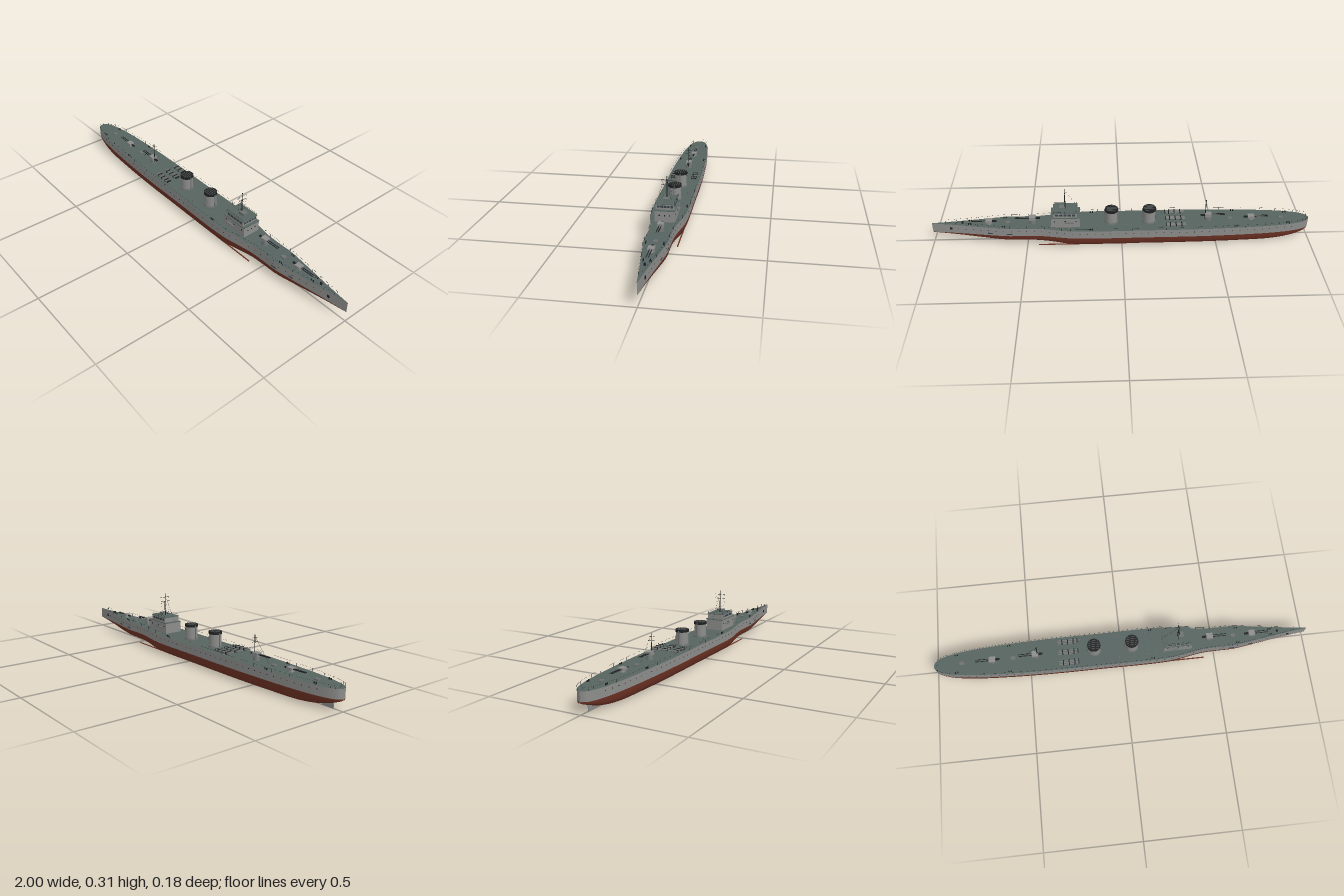
import * as THREE from 'three';

const paint = (name, color) => {
  const m = new THREE.MeshStandardMaterial({ color });
  m.name = name;
  return m;
};

export function createModel() {
  const ship = new THREE.Group();
  ship.name = 'warship';
  const grey = paint('hull grey', 0x8c8d8b);
  const red = paint('bottom red', 0x6e3224);
  const deckGreen = paint('deck grey green', 0x56635f);
  const dark = paint('dark metal', 0x1e1f20);
  const steel = paint('steel', 0x6c716f);
  const glass = paint('window glass', 0x39434a);
  const V = (x, y, z) => new THREE.Vector3(x, y, z);

  const add = (parent, name, geo, mat, x = 0, y = 0, z = 0) => {
    const m = new THREE.Mesh(geo, mat);
    m.name = name;
    m.position.set(x, y, z);
    parent.add(m);
    return m;
  };
  const group = (name, x = 0, y = 0, z = 0) => {
    const g = new THREE.Group();
    g.name = name;
    g.position.set(x, y, z);
    ship.add(g);
    return g;
  };
  const box = (p, name, mat, w, h, d, x, y, z) => add(p, name, new THREE.BoxGeometry(w, h, d), mat, x, y, z);
  const rod = (p, name, mat, a, b, r, sides = 5) => {
    const m = add(p, name, new THREE.CylinderGeometry(r, r, a.distanceTo(b), sides), mat);
    m.position.copy(a).lerp(b, 0.5);
    m.quaternion.setFromUnitVectors(V(0, 1, 0), b.clone().sub(a).normalize());
    return m;
  };
  // Skin over cross-sections of equal point count
  const loft = (rows) => {
    const n = rows[0].length, idx = [];
    for (let i = 0; i < rows.length - 1; i++) for (let j = 0; j < n - 1; j++) {
      const a = i * n + j, b = a + n;
      idx.push(a, b, a + 1, b, b + 1, a + 1);
    }
    const g = new THREE.BufferGeometry().setFromPoints(rows.flat());
    g.setIndex(idx);
    g.computeVertexNormals();
    return g;
  };

  // Hull stations: x, half width, keel height
  const WL = 0.057;
  const stations = new THREE.CatmullRomCurve3([
    [-1, 0.003, 0.05], [-0.99, 0.022, 0.045], [-0.96, 0.04, 0.034], [-0.9, 0.056, 0.017], [-0.8, 0.07, 0.004],
    [-0.62, 0.082, 0.001], [-0.4, 0.089, 0], [-0.1, 0.09, 0], [0.2, 0.09, 0], [0.28, 0.084, 0.001],
    [0.36, 0.07, 0.01], [0.44, 0.058, 0.016], [0.52, 0.056, 0.019], [0.6, 0.055, 0.021], [0.7, 0.042, 0.029],
    [0.8, 0.027, 0.039], [0.9, 0.013, 0.048], [1, 0.001, 0.056],
  ].map(p => V(...p))).getPoints(119);
  const deckY = x => 0.103 + 0.008 * Math.max(0, (x - 0.3) / 0.7) ** 1.5;
  const halfWidth = x => {
    const i = Math.max(1, stations.findIndex(s => s.x >= x));
    const a = stations[i - 1], b = stations[i];
    return THREE.MathUtils.mapLinear(x, a.x, b.x, a.y, b.y);
  };
  const half = [[0, 0], [0.4, 0.01], [0.6, 0.03], [0.76, 0.1], [0.87, 0.23], [0.94, 0.45], [0.985, 0.75], [1, 1]];
  const section = [...half.slice(1).reverse().map(([a, b]) => [-a, b]), ...half];
  add(ship, 'lower hull', loft(stations.map(s => section.map(([a, b]) => V(s.x, s.z + b * (WL - s.z), a * s.y)))), red);
  for (const side of [-1, 1]) {
    const ys = s => (side > 0 ? [WL, deckY(s.x)] : [deckY(s.x), WL]);
    add(ship, 'hull side', loft(stations.map(s => ys(s).map(y => V(s.x, y, side * s.y)))), grey);
  }
  add(ship, 'deck', loft(stations.map(s => [1, -1].map(k => V(s.x, deckY(s.x), k * s.y)))), deckGreen);
  box(ship, 'sternPost', grey, 0.003, 0.05, 0.006, -0.9985, 0.078, 0);
  box(ship, 'rudder', grey, 0.065, 0.032, 0.005, -0.915, 0.016, 0);

  // Side fittings: bilge keels, portholes, anchors, rails
  const rails = group('railings');
  for (const side of [-1, 1]) {
    box(ship, 'bilgeKeel', red, 0.5, 0.003, 0.006, 0.19, 0.012, side * 0.074);
    for (let x = -0.9; x < 0.93; x += 0.04) {
      const p = add(ship, 'porthole', new THREE.CylinderGeometry(0.0022, 0.0022, 0.002, 8), dark, x, 0.086, side * halfWidth(x));
      p.rotation.x = Math.PI / 2;
    }
    box(ship, 'anchor', dark, 0.012, 0.014, 0.004, 0.9, 0.085, side * 0.0135);
    for (const x of [0.59, 0.69]) box(ship, 'sideScuttle', glass, 0.03, 0.006, 0.003, x, 0.07, side * halfWidth(x));
    let last = null;
    for (let i = 6; i < stations.length - 2; i += 4) {
      const s = stations[i], z = side * (s.y - 0.001), y = deckY(s.x);
      const top = V(s.x, y + 0.015, z);
      rod(rails, 'railPost', dark, V(s.x, y, z), top, 0.0007, 4);
      if (last) rod(rails, 'railWire', dark, last, top, 0.0003, 3);
      last = top;
    }
    for (const x of [-0.88, -0.6, 0.16, 0.62, 0.8]) for (const dx of [-0.006, 0.006]) {
      add(ship, 'bollard', new THREE.CylinderGeometry(0.003, 0.003, 0.009, 8), dark, x + dx, deckY(x) + 0.004, side * (halfWidth(x) - 0.012));
    }
    for (const x of [-0.02, -0.22, 0.13]) {
      add(ship, 'ventilator', new THREE.CylinderGeometry(0.004, 0.004, 0.016, 8), steel, x, 0.111, side * 0.06);
    }
  }

  // Bridge, two stepped decks
  const bridge = group('bridge', 0.295, 0.103, 0);
  box(bridge, 'lowerHouse', grey, 0.15, 0.056, 0.098, 0, 0.028, 0);
  box(bridge, 'houseDeck', deckGreen, 0.154, 0.003, 0.102, 0, 0.0575, 0);
  box(bridge, 'wheelhouse', grey, 0.122, 0.026, 0.09, 0, 0.072, 0);
  box(bridge, 'bridgeRoof', deckGreen, 0.128, 0.003, 0.096, 0, 0.0865, 0);
  box(bridge, 'directorTower', steel, 0.03, 0.014, 0.03, 0.015, 0.095, 0);
  box(bridge, 'wingPlatform', steel, 0.05, 0.003, 0.124, -0.02, 0.033, 0);
  for (let i = -2; i <= 2; i++) {
    for (const s of [-1, 1]) {
      box(bridge, 'sideWindow', glass, 0.016, 0.011, 0.002, i * 0.022, 0.074, s * 0.045);
      if (i % 2 === 0) box(bridge, 'housePort', dark, 0.006, 0.006, 0.002, i * 0.028, 0.038, s * 0.049);
    }
    box(bridge, 'frontWindow', glass, 0.002, 0.011, 0.013, 0.061, 0.074, i * 0.0165);
  }
  for (const z of [-0.025, 0, 0.025]) box(bridge, 'frontPort', dark, 0.002, 0.006, 0.006, 0.075, 0.034, z);
  for (const s of [-1, 1]) rod(bridge, 'roofRail', dark, V(-0.06, 0.096, s * 0.045), V(0.06, 0.096, s * 0.045), 0.0006);
  for (const x of [-0.06, 0, 0.06]) for (const s of [-1, 1]) {
    rod(bridge, 'roofRailPost', dark, V(x, 0.087, s * 0.045), V(x, 0.096, s * 0.045), 0.0007);
  }

  // Masts with yards and stays
  const foremast = group('foremast', 0.295, 0, 0);
  rod(foremast, 'mast', dark, V(0, 0.19, 0), V(0, 0.27, 0), 0.0028, 8);
  rod(foremast, 'topmast', dark, V(0, 0.27, 0), V(0, 0.312, 0), 0.0014);
  for (const y of [0.268, 0.291]) rod(foremast, 'yard', dark, V(0, y, -0.029), V(0, y, 0.029), 0.001);
  for (const s of [-1, 1]) {
    rod(foremast, 'crossStay', dark, V(0, 0.291, s * 0.028), V(0, 0.19, -s * 0.022), 0.0003, 3);
    rod(foremast, 'yardStay', dark, V(0, 0.268, s * 0.028), V(0, 0.19, s * 0.016), 0.0003, 3);
  }
  rod(foremast, 'backStay', dark, V(0, 0.305, 0), V(-0.09, 0.165, 0), 0.0004, 3);
  const aftMast = group('aftMast', -0.445, 0, 0);
  rod(aftMast, 'mast', dark, V(0, 0.103, 0), V(0, 0.226, 0), 0.002, 8);
  for (const y of [0.19, 0.21]) rod(aftMast, 'yard', dark, V(0, y, -0.018), V(0, y, 0.018), 0.0009);
  rod(aftMast, 'backStay', dark, V(0, 0.22, 0), V(-0.1, 0.105, 0), 0.0004, 3);

  // Funnels with dark caps
  for (const x of [-0.147, 0.053]) {
    const f = group('funnel', x, 0.103, 0);
    add(f, 'casing', new THREE.CylinderGeometry(0.032, 0.032, 0.07, 28), grey, 0, 0.035, 0);
    add(f, 'base', new THREE.CylinderGeometry(0.035, 0.037, 0.008, 28), steel, 0, 0.004, 0);
    add(f, 'cap', new THREE.CylinderGeometry(0.0345, 0.0345, 0.012, 28), dark, 0, 0.075, 0);
    for (let k = -2; k <= 2; k++) box(f, 'capBar', steel, 0.06 - Math.abs(k) * 0.008, 0.002, 0.0015, 0, 0.0815, k * 0.011);
    for (const s of [-1, 1]) rod(f, 'steamPipe', steel, V(s * 0.035, 0, 0), V(s * 0.035, 0.078, 0), 0.003, 8);
  }

  // Deck guns: x, facing, raised height
  for (const [x, dir, lift] of [[0.47, 1, 0.016], [0.7, 1, 0], [-0.46, -1, 0.016], [-0.69, -1, 0]]) {
    const g = group('deckGun', x, deckY(x), 0);
    g.rotation.y = dir > 0 ? 0 : Math.PI;
    add(g, 'pedestal', new THREE.CylinderGeometry(0.013, 0.018, 0.008 + lift, 16), steel, 0, (0.008 + lift) / 2, 0);
    box(g, 'shield', grey, 0.034, 0.012 + lift * 0.4, 0.03, 0, 0.014 + lift, 0);
    box(g, 'breech', dark, 0.026, 0.006, 0.01, -0.026, 0.012 + lift, 0);
    for (const z of [-0.005, 0.005]) rod(g, 'barrel', dark, V(0.01, 0.014 + lift, z), V(0.09, 0.015 + lift, z), 0.002, 8);
  }

  // Torpedo mounts, three tubes each
  for (const z of [-0.058, 0, 0.058]) {
    const t = group('torpedoMount', -0.285, 0.103, z);
    add(t, 'turntable', new THREE.CylinderGeometry(0.012, 0.014, 0.008, 16), steel, 0, 0.004, 0);
    for (const k of [-0.009, 0, 0.009]) {
      rod(t, 'tube', steel, V(-0.052, 0.013, k), V(0.052, 0.013, k), 0.004, 10);
      rod(t, 'muzzle', dark, V(0.048, 0.013, k), V(0.053, 0.013, k), 0.0045, 10);
    }
    for (const x of [-0.03, 0, 0.03]) box(t, 'clamp', dark, 0.005, 0.011, 0.028, x, 0.013, 0);
  }

  // Bow capstan, hatches and flag staffs
  add(ship, 'capstan', new THREE.CylinderGeometry(0.005, 0.006, 0.01, 12), dark, 0.84, deckY(0.84) + 0.005, 0);
  for (const x of [-0.85, -0.58, 0.6]) box(ship, 'hatch', steel, 0.024, 0.006, 0.02, x, deckY(x) + 0.003, 0);
  rod(ship, 'sternStaff', dark, V(-0.98, 0.103, 0), V(-0.985, 0.125, 0), 0.0007);
  return ship;
}
